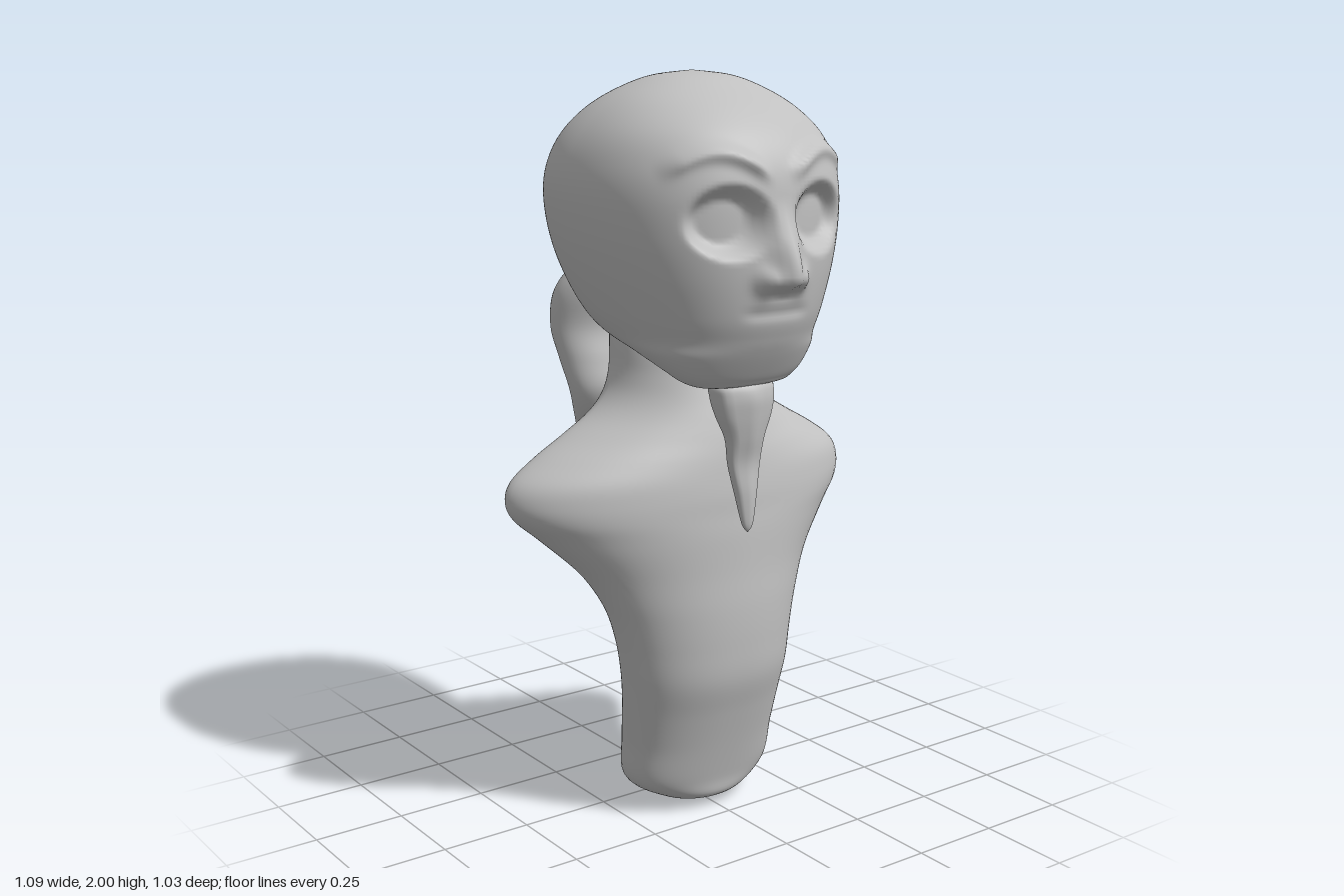
import * as THREE from 'three';
import { mergeVertices } from 'three/addons/utils/BufferGeometryUtils.js';

const { smoothstep, clamp } = THREE.MathUtils;
const gauss = (d, w) => Math.exp(-((d / w) ** 2));

// Smooth interpolation of every column of a section table, t in 0..1
function sample(rows, t) {
  const f = t * (rows.length - 1);
  const i = Math.min(Math.floor(f), rows.length - 2);
  const u = f - i;
  const at = (k) => rows[clamp(k, 0, rows.length - 1)];
  return rows[0].map((_, c) => {
    const [a, b, d, e] = [at(i - 1)[c], at(i)[c], at(i + 1)[c], at(i + 2)[c]];
    return b + 0.5 * u * (d - a + u * (2 * a - 5 * b + 4 * d - e + u * (3 * (b - d) + e - a)));
  });
}

// Skin over horizontal sections, listed from low to high:
// [y, half width, front z, back z, z of widest point, front roundness, back roundness]
function loft(rows, segs, steps, shape) {
  const pos = [], index = [];
  for (let i = 0; i <= steps; i++) {
    const [y, hw, zf, zb, zc = (zf + zb) / 2, nf = 2, nb = 2] = sample(rows, i / steps);
    for (let j = 0; j < segs; j++) {
      const a = (j / segs) * Math.PI * 2;
      const s = Math.sin(a), c = Math.cos(a);
      const n = 2 / (c > 0 ? nf : nb);
      const p = new THREE.Vector3(
        Math.sign(s) * Math.abs(s) ** n * Math.max(hw, 0), y,
        zc + Math.sign(c) * Math.abs(c) ** n * (c > 0 ? zf - zc : zc - zb));
      if (shape) shape(p, a, i / steps, zc);
      pos.push(p.x, p.y, p.z);
      if (i < steps) {
        const k = i * segs, j2 = (j + 1) % segs;
        index.push(k + j, k + j2, k + segs + j, k + j2, k + segs + j2, k + segs + j);
      }
    }
  }
  let g = new THREE.BufferGeometry();
  g.setAttribute('position', new THREE.Float32BufferAttribute(pos, 3));
  g.setIndex(index);
  g = mergeVertices(g, 1e-5);
  g.computeVertexNormals();
  return g;
}

// Eye sockets, brows and nose pressed into the front of the head
function face(p) {
  if (p.z < 0.2) return;
  const x = Math.abs(p.x), y = p.y;
  const eye = Math.hypot((x - 0.14) / 0.105, (y - 1.64) / 0.09);
  let d = -0.05 * (1 - smoothstep(eye, 0.55, 1.1));
  const browY = 1.755 + 0.055 * Math.sin(Math.PI * clamp((x - 0.04) / 0.25, 0, 1));
  d += 0.022 * gauss(y - browY, 0.022) * smoothstep(x, 0.02, 0.08) * (1 - smoothstep(x, 0.24, 0.29));
  d += 0.065 * gauss(x, 0.04) * smoothstep(y, 1.45, 1.495) * (1 - smoothstep(y, 1.5, 1.7));
  d += 0.028 * gauss(x - 0.055, 0.025) * gauss(y - 1.495, 0.032);
  d -= 0.006 * gauss(y - 1.41, 0.015) * (1 - smoothstep(x, 0.06, 0.12));
  p.z += d;
}

// Radial folds for gathered hair
const pleats = (count, depth, midY) => (p, a, t, zc) => {
  const k = 1 + depth * Math.cos(count * a) * Math.sin(Math.PI * t);
  p.x *= k;
  p.z = zc + (p.z - zc) * k;
};

export function createModel() {
  const group = new THREE.Group();
  const clay = new THREE.MeshStandardMaterial({ color: 0xc0c0c0 });
  clay.name = 'grey clay';
  const add = (name, geometry) => {
    const mesh = new THREE.Mesh(geometry, clay);
    mesh.name = name;
    group.add(mesh);
    return mesh;
  };

  // Torso with sloping shoulders, running up into the neck
  add('torso', loft([
    [0.0, 0.0, 0.07, 0.07, 0.07, 2, 2],
    [0.015, 0.08, 0.15, 0.0, 0.08, 2, 2],
    [0.035, 0.14, 0.205, -0.03, 0.09, 2.1, 2],
    [0.09, 0.218, 0.218, -0.055, 0.09, 2.2, 2.2],
    [0.2, 0.228, 0.247, -0.05, 0.1, 2.2, 2.2],
    [0.3, 0.238, 0.275, -0.025, 0.11, 2.2, 2.2],
    [0.4, 0.25, 0.303, -0.012, 0.12, 2.2, 2.2],
    [0.5, 0.268, 0.31, -0.012, 0.12, 2.1, 2.2],
    [0.6, 0.3, 0.31, -0.02, 0.11, 2, 2.2],
    [0.7, 0.36, 0.303, -0.035, 0.08, 1.9, 2.3],
    [0.8, 0.46, 0.298, -0.052, 0.04, 1.8, 2.5],
    [0.86, 0.525, 0.292, -0.062, 0.02, 1.75, 2.6],
    [0.91, 0.545, 0.288, -0.07, 0.01, 1.7, 2.6],
    [0.96, 0.525, 0.28, -0.078, 0.005, 1.7, 2.5],
    [1.01, 0.455, 0.27, -0.086, 0.0, 1.7, 2.3],
    [1.06, 0.365, 0.256, -0.094, 0.0, 1.7, 2.2],
    [1.11, 0.28, 0.238, -0.102, 0.0, 1.8, 2.1],
    [1.16, 0.23, 0.218, -0.113, 0.0, 1.9, 2],
    [1.22, 0.205, 0.195, -0.125, 0.0, 2, 2],
    [1.3, 0.195, 0.17, -0.145, 0.0, 2, 2],
    [1.4, 0.18, 0.13, -0.16, -0.02, 2, 2],
  ], 72, 120));

  // Head: narrow chin, jaw rising towards the back, broad skull
  add('head', loft([
    [1.205, 0.0, 0.29, 0.29, 0.29, 2, 2],
    [1.21, 0.12, 0.335, 0.24, 0.29, 2.2, 2],
    [1.225, 0.17, 0.352, 0.21, 0.27, 2.2, 2],
    [1.255, 0.208, 0.372, 0.15, 0.25, 2.2, 2],
    [1.3, 0.248, 0.398, 0.0, 0.2, 2.2, 2],
    [1.34, 0.272, 0.417, -0.15, 0.13, 2.2, 2],
    [1.4, 0.302, 0.438, -0.215, 0.09, 2.2, 2.1],
    [1.5, 0.338, 0.452, -0.265, 0.06, 2.25, 2.2],
    [1.6, 0.362, 0.455, -0.293, 0.04, 2.3, 2.2],
    [1.7, 0.37, 0.452, -0.298, 0.03, 2.3, 2.2],
    [1.78, 0.355, 0.434, -0.28, 0.03, 2.3, 2.2],
    [1.85, 0.32, 0.392, -0.24, 0.04, 2.3, 2.2],
    [1.91, 0.265, 0.325, -0.182, 0.05, 2.2, 2.1],
    [1.955, 0.195, 0.245, -0.108, 0.06, 2.1, 2],
    [1.987, 0.107, 0.165, -0.03, 0.07, 2, 2],
    [2.0, 0.0, 0.07, 0.07, 0.07, 2, 2],
  ], 180, 140, face));

  // Pointed beard hanging from the chin
  add('beard', loft([
    [0.815, 0.0, 0.32, 0.32],
    [0.84, 0.017, 0.33, 0.307],
    [0.92, 0.033, 0.332, 0.288],
    [1.0, 0.05, 0.326, 0.28],
    [1.07, 0.058, 0.34, 0.268],
    [1.13, 0.082, 0.348, 0.25],
    [1.18, 0.094, 0.35, 0.232],
    [1.215, 0.088, 0.335, 0.235],
    [1.23, 0.0, 0.29, 0.29],
  ], 28, 40, pleats(7, 0.05)));

  // Hair gathered from the nape into the tie; lofted upright, then laid towards the back
  const gathered = loft([
    [0.1, 0.2, 1.53, 1.335],
    [0.2, 0.185, 1.55, 1.33],
    [0.25, 0.15, 1.555, 1.338],
    [0.285, 0.105, 1.525, 1.365],
    [0.315, 0.06, 1.475, 1.39],
    [0.34, 0.045, 1.455, 1.4],
    [0.37, 0.03, 1.44, 1.41],
  ], 72, 36, pleats(11, 0.07));
  gathered.rotateX(-Math.PI / 2);
  add('gatheredHair', gathered);

  // Small tuft standing above the tie
  add('hairTuft', loft([
    [1.39, 0.03, -0.28, -0.32],
    [1.46, 0.042, -0.28, -0.345],
    [1.52, 0.058, -0.25, -0.355],
    [1.555, 0.052, -0.25, -0.335],
    [1.575, 0.0, -0.285, -0.285],
  ], 36, 24, pleats(6, 0.08)));

  // Ponytail curling down behind the neck
  add('ponytail', loft([
    [0.938, 0.0, -0.452, -0.452],
    [0.955, 0.032, -0.42, -0.468],
    [1.01, 0.062, -0.365, -0.456],
    [1.09, 0.088, -0.322, -0.457],
    [1.18, 0.108, -0.33, -0.487],
    [1.27, 0.124, -0.345, -0.511],
    [1.36, 0.122, -0.325, -0.507],
    [1.42, 0.095, -0.312, -0.48],
    [1.447, 0.06, -0.325, -0.44],
    [1.456, 0.0, -0.385, -0.385],
  ], 40, 50));

  return group;
}
